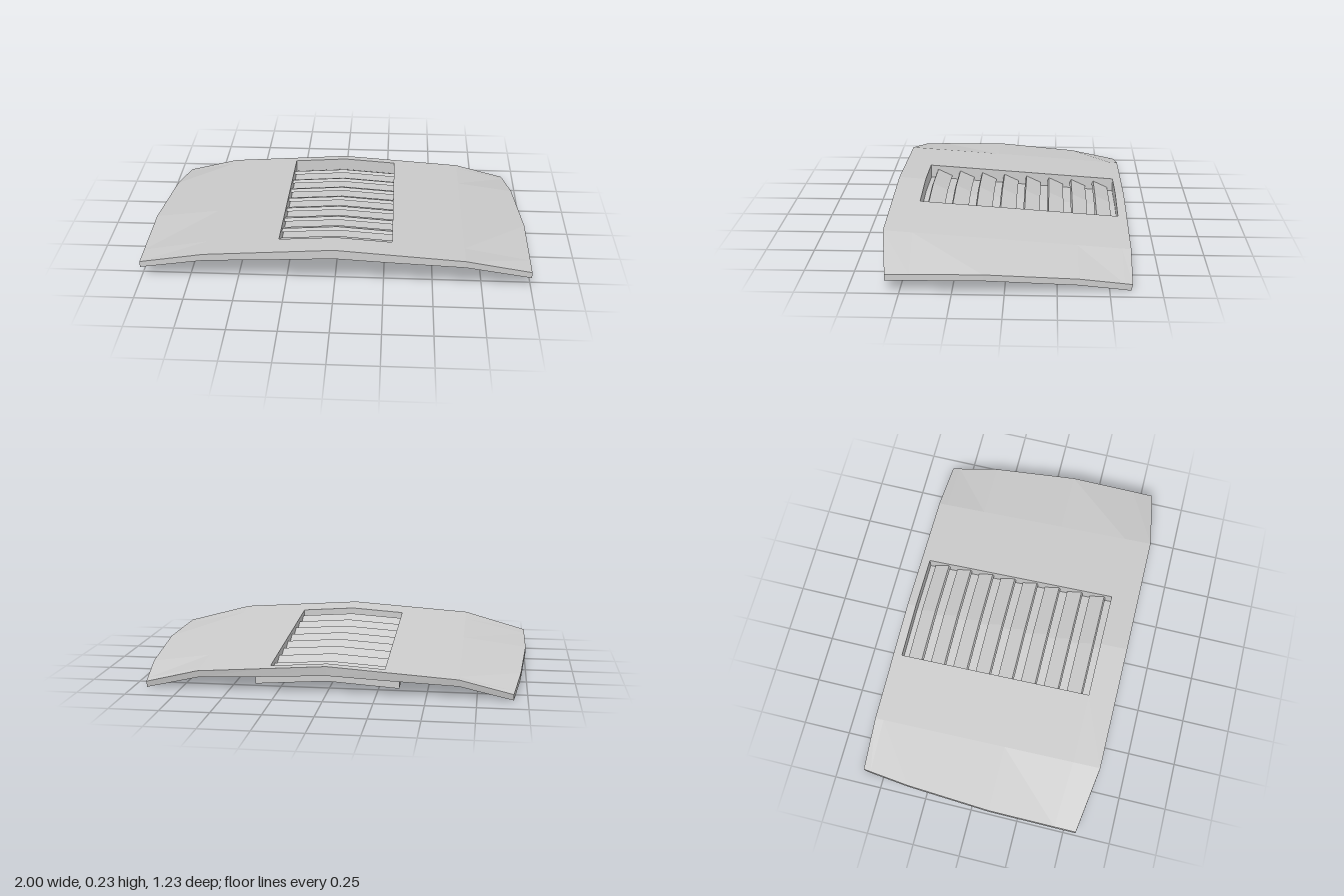
import * as THREE from 'three';

const material = new THREE.MeshStandardMaterial({ color: 0xcccccc, flatShading: true, side: THREE.DoubleSide });

// Upper surface of the ridged centre section
const topY = (x, z) => 0.187 + 0.069 * z - 0.068 * Math.abs(x);

// Collects quads (counter-clockwise corners) into one flat shaded mesh
function quadMesh(name, quads) {
  const pos = [];
  for (const [a, b, c, d] of quads) pos.push(...a, ...b, ...c, ...a, ...c, ...d);
  const g = new THREE.BufferGeometry();
  g.setAttribute('position', new THREE.Float32BufferAttribute(pos, 3));
  g.computeVertexNormals();
  const mesh = new THREE.Mesh(g, material);
  mesh.name = name;
  return mesh;
}

// Closed bar across x that follows the ridge; profile holds four [z, depth] corners,
// in order: back top, front top, front bottom, back bottom
function bentBar(name, x0, x1, profile) {
  const xs = x0 < 0 && x1 > 0 ? [x0, 0, x1] : [x0, x1];
  const rings = xs.map(x => profile.map(([z, d]) => [x, topY(x, z) - d, z]));
  const quads = [];
  for (let i = 0; i < rings.length - 1; i++) {
    for (let j = 0; j < 4; j++) {
      const k = (j + 1) % 4;
      quads.push([rings[i][j], rings[i][k], rings[i + 1][k], rings[i + 1][j]]);
    }
  }
  const last = rings[rings.length - 1];
  quads.push([...rings[0]].reverse(), last);
  return quadMesh(name, quads);
}

// Rectangular section between two z positions and two depths
const rect = (z0, z1, d0, d1) => [[z0, d0], [z1, d0], [z1, d1], [z0, d1]];

// Curved cover with a rectangular opening
function coverPanel() {
  const rowsZ = [0.615, 0.47, 0.1, -0.35, -0.57, -0.617];
  const rim = [ // outer edge: x, y, z for each row
    [1, 0.1, 0.565], [1, 0.102, 0.45], [1, 0.105, 0.1],
    [0.967, 0.075, -0.35], [0.936, 0.04, -0.57], [0.93, 0.033, -0.61],
  ];
  const colsX = [-1, -0.66, -0.29, 0, 0.29, 0.66, 1];
  const thick = [0.032, 0.036, 0.045, 0.05, 0.045, 0.036, 0.032];
  const top = (r, c) => {
    if (c === 0 || c === 6) return [Math.sign(colsX[c]) * rim[r][0], rim[r][1], rim[r][2]];
    return [colsX[c], topY(colsX[c], rowsZ[r]), rowsZ[r]];
  };
  const under = (r, c) => {
    const [x, y, z] = top(r, c);
    return [x, y - thick[c], z + (r === 5 ? 0.008 : 0)];
  };
  const solid = (r, c) => r >= 0 && r < 5 && c >= 0 && c < 6 && !(r >= 1 && r <= 3 && (c === 2 || c === 3));
  const quads = [];
  const wall = (a, b) => quads.push([under(...a), under(...b), top(...b), top(...a)]);
  for (let r = 0; r < 5; r++) {
    for (let c = 0; c < 6; c++) {
      if (!solid(r, c)) continue;
      const A = [r, c], B = [r, c + 1], C = [r + 1, c + 1], D = [r + 1, c];
      quads.push([A, B, C, D].map(p => top(...p)));
      quads.push([D, C, B, A].map(p => under(...p)));
      // Walls wherever the neighbouring cell is empty
      if (!solid(r - 1, c)) wall(A, B);
      if (!solid(r, c + 1)) wall(B, C);
      if (!solid(r + 1, c)) wall(C, D);
      if (!solid(r, c - 1)) wall(D, A);
    }
  }
  return quadMesh('coverPanel', quads);
}

export function createModel() {
  const model = new THREE.Group();
  model.name = 'ventedCover';
  model.add(coverPanel());

  // Shallow tray under the opening
  const tray = new THREE.Group();
  tray.name = 'ventTray';
  const back = -0.59, front = 0.5, half = 0.365;
  tray.add(
    bentBar('trayFloor', -half, half, rect(back, front, 0.072, 0.085)),
    bentBar('trayFrontWall', -half, half, rect(0.47, front, 0.04, 0.072)),
    bentBar('trayBackWall', -half, half, rect(back, -0.57, 0.04, 0.072)),
    bentBar('trayLeftWall', 0.29, half, rect(-0.57, 0.47, 0.04, 0.072)),
    bentBar('trayRightWall', -half, -0.29, rect(-0.57, 0.47, 0.04, 0.072)),
  );
  model.add(tray);

  // Louvre slats rising towards the front
  const slats = new THREE.Group();
  slats.name = 'ventSlats';
  for (let i = 0; i < 8; i++) {
    const z = -0.54 + i * 0.127;
    slats.add(bentBar('slat', -0.29, 0.29, [
      [z, 0.054], [z + 0.08, 0.022], [z + 0.088, 0.04], [z + 0.008, 0.072],
    ]));
  }
  model.add(slats);
  return model;
}
